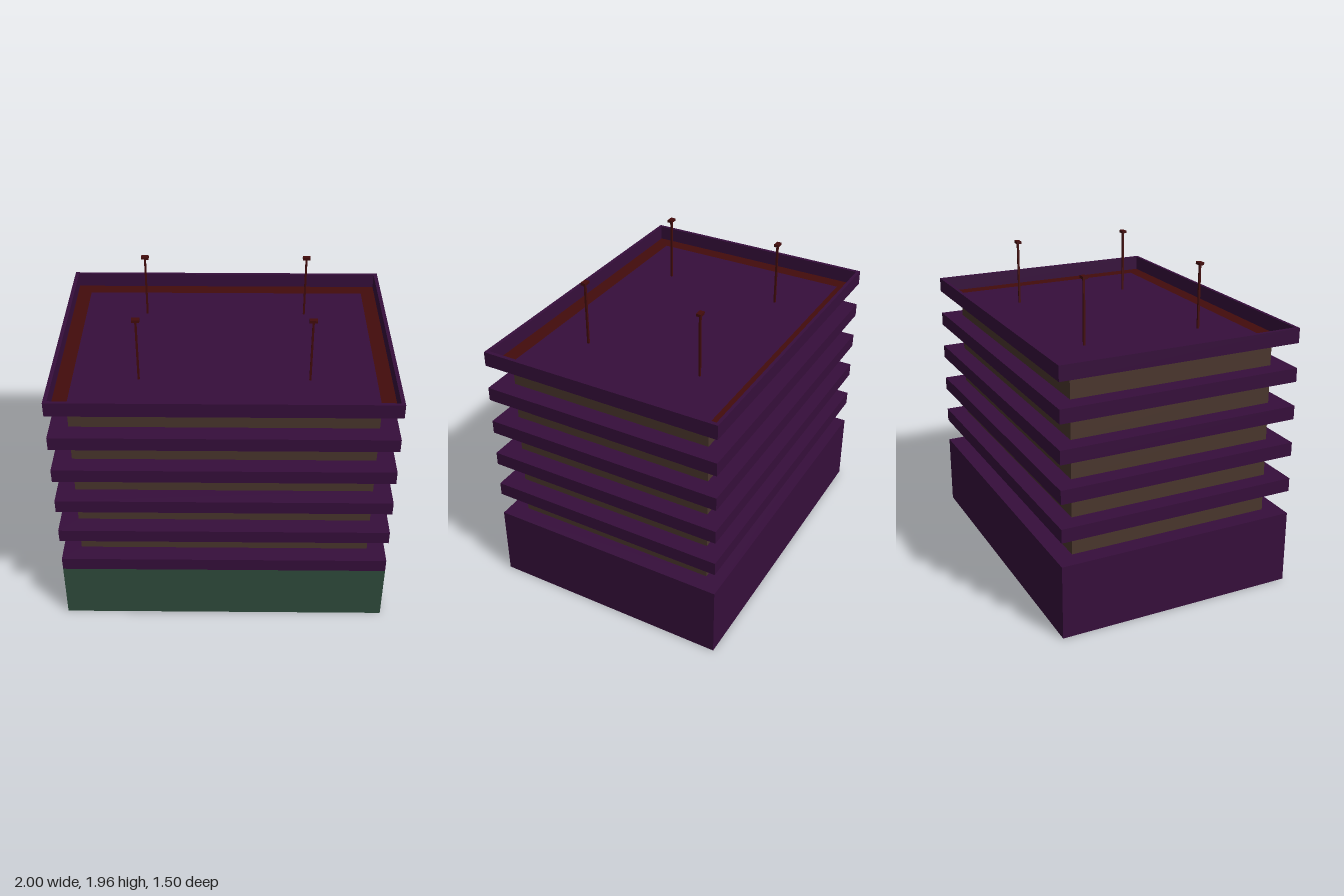
import * as THREE from 'three';

const mat = (name, color) => {
  const m = new THREE.MeshStandardMaterial({ color, side: THREE.DoubleSide });
  m.name = name;
  return m;
};

// Rectangular band joining a lower outline to an upper one; outlines are [halfX, y, halfZ].
// Faces run front, left, back, right, one geometry group each.
function band(lower, upper) {
  const corners = ([x, y, z]) => [[-x, y, z], [x, y, z], [x, y, -z], [-x, y, -z]];
  const a = corners(lower), b = corners(upper), pos = [];
  const geo = new THREE.BufferGeometry();
  for (let i = 0; i < 4; i++) {
    const j = (i + 1) % 4;
    for (const p of [a[i], a[j], b[j], a[i], b[j], b[i]]) pos.push(...p);
    geo.addGroup(i * 6, 6, 0);
  }
  geo.setAttribute('position', new THREE.Float32BufferAttribute(pos, 3));
  geo.computeVertexNormals();
  return geo;
}

export function createModel() {
  const model = new THREE.Group();
  const purple = mat('dark purple', 0x360e3b);
  const brown = mat('window brown', 0x4a362d);
  const green = mat('shopfront green', 0x2f4c3c);
  const red = mat('dark red', 0x430c0c);

  const add = (name, geo, material, x = 0, y = 0, z = 0) => {
    const mesh = new THREE.Mesh(geo, material);
    mesh.name = name;
    mesh.position.set(x, y, z);
    model.add(mesh);
  };

  const outer = y => [1, y, 0.75];
  const inner = y => [0.89, y, 0.64];

  // Open ground floor with a green front
  const base = band(outer(0), outer(0.375));
  base.groups[0].materialIndex = 1;
  add('groundFloorWalls', base, [purple, green]);
  add('groundFloorFascia', band(outer(0.375), outer(0.46)), purple);
  add('groundFloorLedge', band(outer(0.46), inner(0.46)), purple);

  // Storeys: recessed window band, then a projecting hollow ledge
  const pitch = 0.2345;
  for (let i = 0; i < 5; i++) {
    const y = 0.46 + i * pitch;
    const soffit = i < 4 ? y + 0.15 : 1.55;
    const top = i < 4 ? y + pitch : 1.64;
    add('windowBand', band(inner(y), inner(soffit)), brown);
    add('ledgeSoffit', band(inner(soffit), outer(soffit)), red);
    add(i < 4 ? 'ledgeFascia' : 'parapet', band(outer(soffit), outer(top)), purple);
    if (i < 4) add('ledgeTop', band(outer(top), inner(top)), purple);
  }

  // Parapet rim, its inside face and the sunken roof
  const rim = y => [0.977, y, 0.73];
  add('parapetRim', band(outer(1.64), rim(1.64)), purple);
  add('parapetInside', band(rim(1.64), rim(1.55)), purple);
  add('roof', new THREE.PlaneGeometry(1.78, 1.28).rotateX(-Math.PI / 2), purple, 0, 1.55, 0);

  // Four roof poles with flat caps
  for (const x of [-0.5, 0.5]) {
    for (const z of [-0.375, 0.375]) {
      add('roofPole', new THREE.BoxGeometry(0.012, 0.39, 0.012), red, x, 1.745, z);
      add('poleCap', new THREE.BoxGeometry(0.046, 0.016, 0.03), red, x, 1.948, z);
    }
  }
  return model;
}
